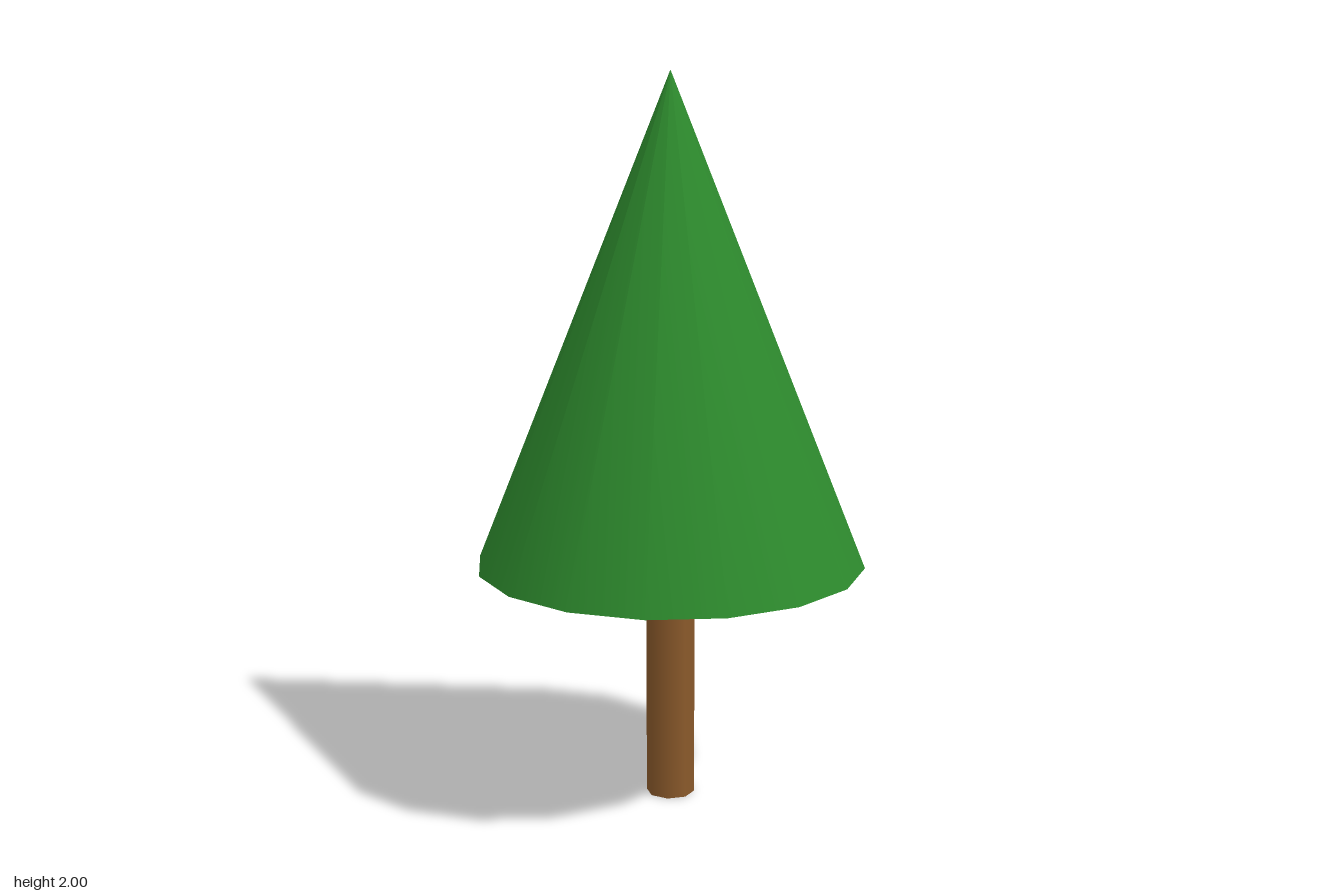
import * as THREE from 'three';

export function createModel() {
  const tree = new THREE.Group();
  tree.name = 'tree';

  const addPart = (name, geometry, color, y) => {
    const mesh = new THREE.Mesh(geometry, new THREE.MeshStandardMaterial({ color }));
    mesh.name = name;
    mesh.position.y = y;
    tree.add(mesh);
  };

  const trunkHeight = 0.667;
  const crownHeight = 2 - trunkHeight;

  // Slim round trunk
  addPart('trunk', new THREE.CylinderGeometry(0.067, 0.067, trunkHeight, 8), 0x8b5a2b, trunkHeight / 2);

  // Conical crown with a closed underside
  addPart('crown', new THREE.ConeGeometry(0.533, crownHeight, 16), 0x2d8a2d, trunkHeight + crownHeight / 2);

  return tree;
}
